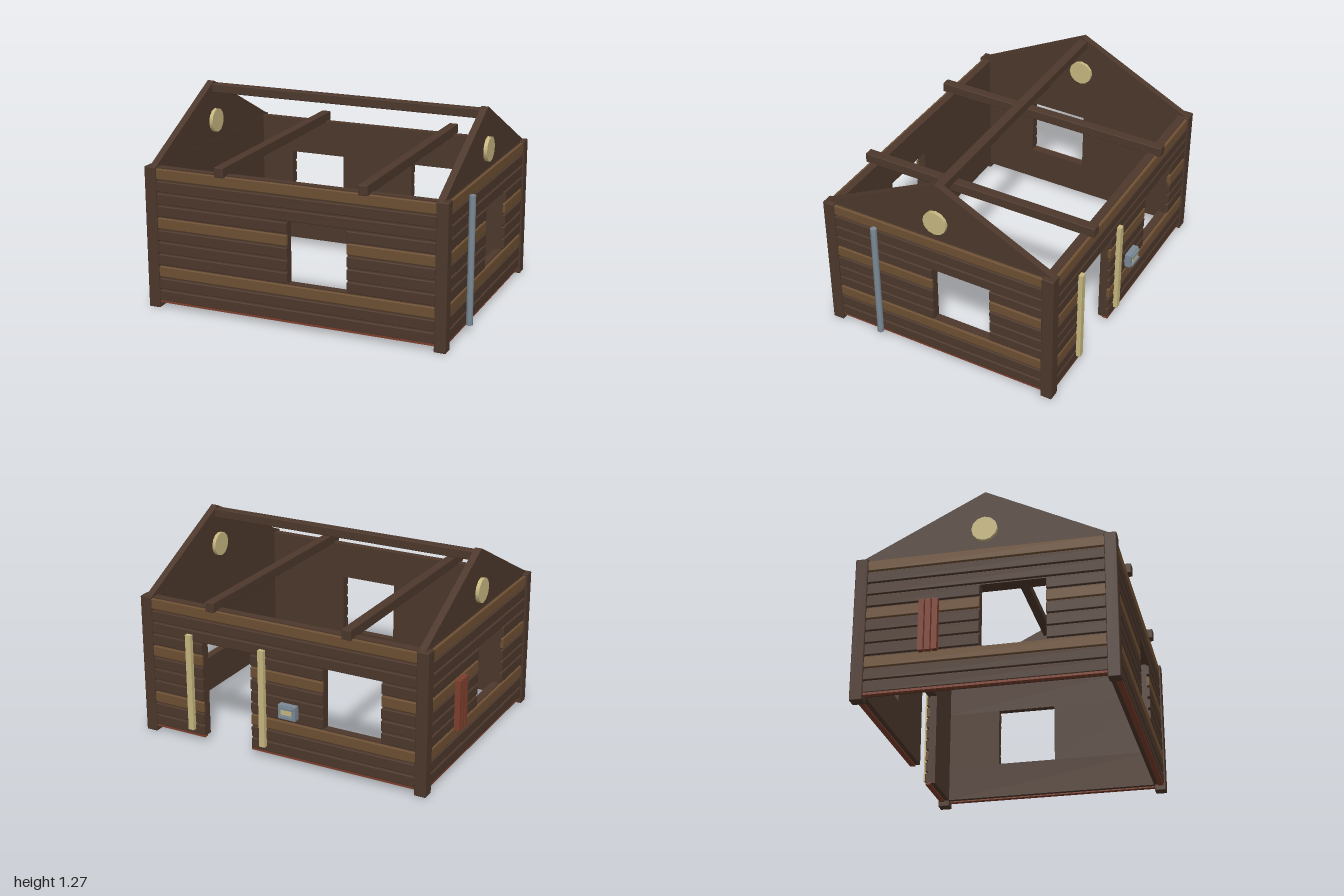
import * as THREE from 'three';
import { RoundedBoxGeometry } from 'three/addons/geometries/RoundedBoxGeometry.js';

const material = (name, color) => {
  const m = new THREE.MeshStandardMaterial({ color });
  m.name = name;
  return m;
};

export function createModel() {
  const model = new THREE.Group();
  model.name = 'logCabinFrame';
  const darkWood = material('darkWood', 0x4d382c);
  const lightWood = material('lightWood', 0x6e5033);
  const paleWood = material('paleWood', 0xc8b880);
  const metal = material('greyMetal', 0x7b8a96);
  const red = material('redWood', 0x7d3f2e);

  const add = (parent, name, geometry, mat) => {
    const mesh = new THREE.Mesh(geometry, mat);
    mesh.name = name;
    parent.add(mesh);
    return mesh;
  };
  // Box given by its [min, max] on each axis, with an optional bevel
  const box = (parent, name, mat, x, y, z, bevel = 0) => {
    const s = [x, y, z].map(([a, b]) => b - a);
    const g = bevel ? new RoundedBoxGeometry(...s, 1, bevel) : new THREE.BoxGeometry(...s);
    const mesh = add(parent, name, g, mat);
    mesh.position.set((x[0] + x[1]) / 2, (y[0] + y[1]) / 2, (z[0] + z[1]) / 2);
    return mesh;
  };

  const BASE = 0.04, PITCH = 0.0773, ROWS = 11, GAP = 0.006;
  const rowY = (i) => BASE + i * PITCH;

  // Stretches of a wall left free by the openings that cross the given row
  const segments = ([start, end], openings, row) => {
    const result = [];
    let from = start;
    for (const o of openings) {
      if (row < o.rows[0] || row >= o.rows[1]) continue;
      result.push([from, o.span[0]]);
      from = o.span[1];
    }
    result.push([from, end]);
    return result;
  };

  // Wall: smooth inner lining, outer logs and a red sill.
  // inner, face and outer are positions along the axis the wall faces.
  const wall = (name, facesX, range, inner, face, outer, openings) => {
    const group = new THREE.Group();
    group.name = name;
    model.add(group);
    const sort = (a, b) => [Math.min(a, b), Math.max(a, b)];
    const slab = (part, mat, along, y, depth, bevel) => facesX
      ? box(group, part, mat, depth, y, along, bevel)
      : box(group, part, mat, along, y, depth, bevel);
    const out = Math.sign(outer);
    for (const [a, b] of [[0, 3], [3, 8], [8, ROWS]]) {
      for (const s of segments(range, openings, a)) {
        slab('lining', darkWood, s, [rowY(a), rowY(b)], sort(inner, face));
      }
    }
    for (let i = 0; i < ROWS; i++) {
      for (const s of segments(range, openings, i)) {
        slab('log', i % 4 === 2 ? lightWood : darkWood, s,
          [rowY(i) + GAP, rowY(i + 1) - GAP], sort(face - out * 0.01, outer), 0.005);
      }
    }
    for (const s of segments(range, openings, 0)) {
      slab('sill', red, s, [0.032, BASE + GAP], sort(face - out * 0.02, outer - out * 0.004));
    }
  };

  const win = (a, b) => ({ span: [a, b], rows: [3, 8] });
  const door = { span: [0.19, 0.53], rows: [0, 8] };
  const alongX = [-0.905, 0.89], alongZ = [-0.685, 0.72];
  wall('frontWall', false, alongX, 0.71, 0.758, 0.776, [win(-0.04, 0.34)]);
  wall('backWall', false, alongX, -0.68, -0.73, -0.748, [win(-0.68, -0.3), door]);
  wall('leftWall', true, alongZ, 0.882, 0.93, 0.947, [win(-0.335, 0.05)]);
  wall('rightWall', true, alongZ, -0.9, -0.948, -0.965, [win(-0.01, 0.375)]);

  // Corner posts
  for (const x of [[-0.975, -0.9], [0.883, 0.957]]) {
    for (const z of [[0.713, 0.786], [-0.756, -0.68]]) {
      box(model, 'cornerPost', darkWood, x, [0, 0.896], z, 0.006);
    }
  }

  // Triangular gables, each with a round vent through it
  const triangle = new THREE.Shape([
    new THREE.Vector2(-0.782, 0.888), new THREE.Vector2(0.752, 0.888),
    new THREE.Vector2(-0.015, 1.272),
  ]);
  for (const x of [-0.924, 0.905]) {
    const gable = add(model, 'gable',
      new THREE.ExtrudeGeometry(triangle, { depth: 0.044, bevelEnabled: false }), darkWood);
    gable.rotation.y = Math.PI / 2;
    gable.position.x = x - 0.022;
    const vent = add(model, 'gableVent', new THREE.CylinderGeometry(0.077, 0.077, 0.09, 12), paleWood);
    vent.rotation.z = Math.PI / 2;
    vent.position.set(x, 1.015, 0.015);
  }

  // Ridge beam and the two tie beams
  box(model, 'ridgeBeam', darkWood, [-0.925, 0.906], [1.2, 1.256], [-0.02, 0.04], 0.005);
  for (const x of [-0.465, 0.449]) {
    box(model, 'tieBeam', darkWood, [x - 0.03, x + 0.03], [0.882, 0.945], [-0.769, 0.798], 0.005);
  }

  // Drain pipe
  const pipe = add(model, 'drainPipe', new THREE.CylinderGeometry(0.02, 0.02, 0.795, 10), metal);
  pipe.position.set(0.975, 0.447, 0.42);

  // Three upright red slats beside the right window
  for (let i = 0; i < 3; i++) {
    const z = -0.342 + i * 0.04;
    box(model, 'redSlat', red, [-1, -0.962], [0.26, 0.58], [z - 0.016, z + 0.016]);
  }

  // Pale boards either side of the door
  for (const x of [0.102, 0.61]) {
    box(model, 'doorBoard', paleWood, [x - 0.019, x + 0.019], [0.08, 0.706], [-0.775, -0.745]);
  }

  // Meter box with a pale plate and raised rails
  box(model, 'meterBox', metal, [-0.138, -0.022], [0.307, 0.395], [-0.788, -0.745]);
  box(model, 'meterPlate', paleWood, [-0.115, -0.045], [0.338, 0.368], [-0.794, -0.787]);
  for (const y of [0.322, 0.38]) {
    box(model, 'meterRail', metal, [-0.128, -0.032], [y - 0.008, y + 0.008], [-0.8, -0.787]);
  }
  return model;
}
